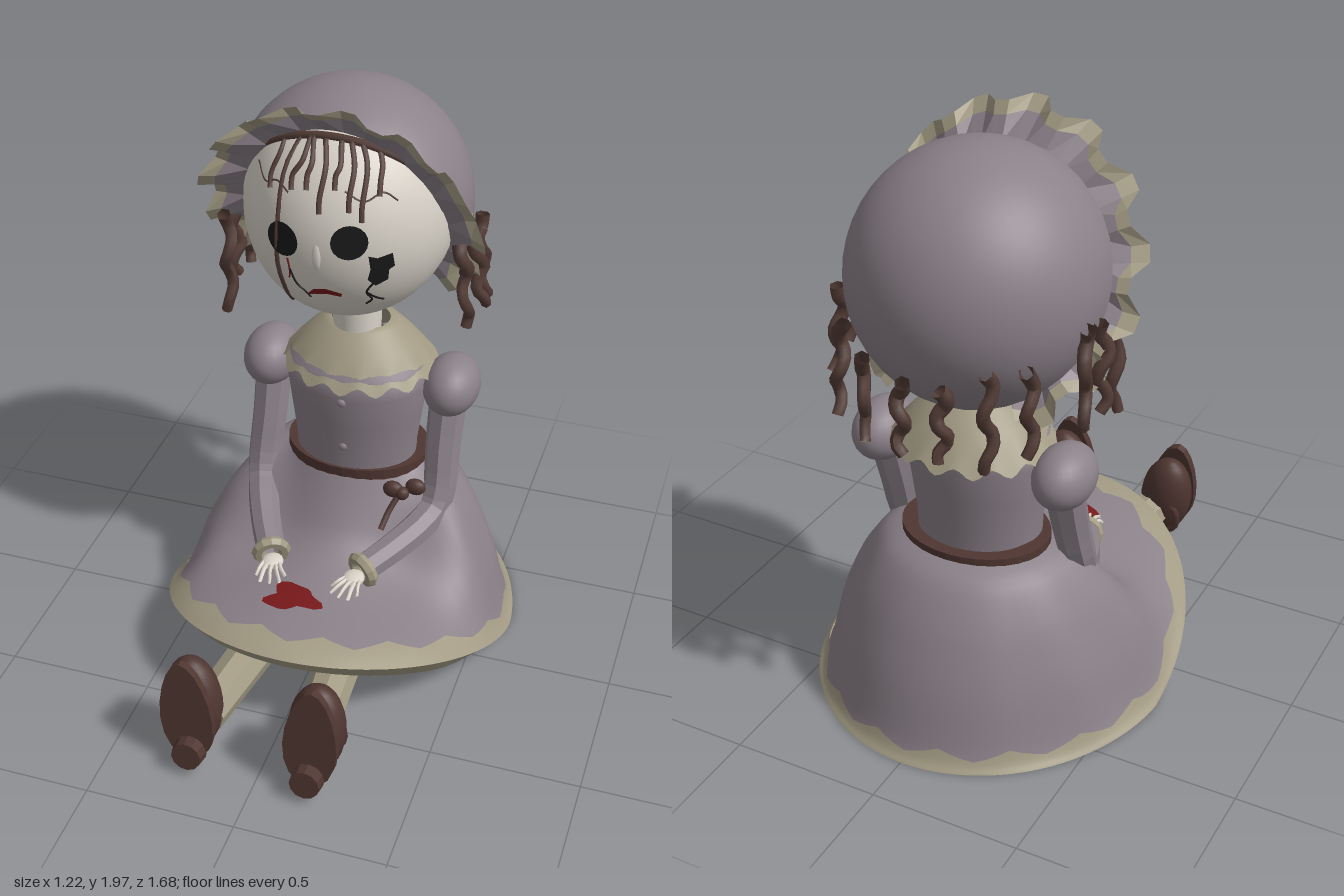
import * as THREE from 'three';
import { mergeVertices } from 'three/addons/utils/BufferGeometryUtils.js';

const mat = (name, color) => new THREE.MeshStandardMaterial({ name, color, side: THREE.DoubleSide });
const M = {
  cloth: mat('mauve cloth', 0x8b8189), trim: mat('beige trim', 0xa29a83), skin: mat('porcelain', 0xd8d2c8),
  hair: mat('brown hair', 0x533c36), leather: mat('brown leather', 0x4f3631),
  black: mat('black', 0x1b1a1b), red: mat('dark red', 0x78191b),
};
const V = (x, y, z) => new THREE.Vector3(x, y, z);
const C = V(-0.045, 1.53, -0.36);          // head centre
const H = V(0.352, 0.39, 0.378);           // head radii

export function createModel() {
  const root = new THREE.Group();
  const add = (name, geo, m, pos = [0, 0, 0], scale = [1, 1, 1], parent = root) => {
    const mesh = new THREE.Mesh(geo, m);
    mesh.name = name;
    mesh.position.set(...pos);
    mesh.scale.set(...scale);
    parent.add(mesh);
    return mesh;
  };
  const flat = (g) => { const f = g.index ? g.toNonIndexed() : g; f.computeVertexNormals(); return f; };

  // Surface from a rule fn(u, v) -> Vector3
  function grid(fn, nu, nv) {
    const pos = [], idx = [];
    for (let j = 0; j <= nv; j++) for (let i = 0; i <= nu; i++) pos.push(...fn(i / nu, j / nv).toArray());
    for (let j = 0; j < nv; j++) for (let i = 0; i < nu; i++) {
      const a = j * (nu + 1) + i, b = a + nu + 1;
      idx.push(a, b, a + 1, b, b + 1, a + 1);
    }
    let g = new THREE.BufferGeometry();
    g.setAttribute('position', new THREE.Float32BufferAttribute(pos, 3));
    g.setIndex(idx);
    g = mergeVertices(g);
    g.computeVertexNormals();
    return g;
  }
  // Tube through points whose radius follows a rule
  function tube(pts, radius, n = 12, sides = 6) {
    const curve = new THREE.CatmullRomCurve3(pts);
    const g = new THREE.TubeGeometry(curve, n, 1, sides);
    const p = g.attributes.position, v = V();
    for (let i = 0; i < p.count; i++) {
      const t = Math.floor(i / (sides + 1)) / n, c = curve.getPointAt(t);
      v.fromBufferAttribute(p, i).sub(c).multiplyScalar(radius(t)).add(c);
      p.setXYZ(i, v.x, v.y, v.z);
    }
    g.computeVertexNormals();
    return g;
  }
  function rod(a, b, ra, rb, sides) {
    const d = b.clone().sub(a);
    const g = new THREE.CylinderGeometry(rb, ra, d.length(), sides);
    g.applyQuaternion(new THREE.Quaternion().setFromUnitVectors(V(0, 1, 0), d.normalize()));
    const m = a.clone().add(b).multiplyScalar(0.5);
    return flat(g.translate(m.x, m.y, m.z));
  }
  const onHead = (x, y, off = 0.005) => {
    const q = 1 - ((x - C.x) / H.x) ** 2 - ((y - C.y) / H.y) ** 2;
    return V(x, y, C.z + H.z * Math.sqrt(Math.max(0, q)) + off);
  };

  // Skirt: blends a bell profile (sides and back) into a flat lap (front)
  const spline = (r, h) => new THREE.SplineCurve(r.map((x, i) => new THREE.Vector2(x, h[i])));
  const bell = spline([0, 0.25, 0.48, 0.64, 0.77, 0.91, 1], [1, 0.93, 0.75, 0.56, 0.36, 0.07, 0]);
  const lap = spline([0, 0.1, 0.2, 0.35, 0.55, 0.86, 1], [1, 0.6, 0.3, 0.13, 0.07, 0.07, 0.02]);
  const skirtAt = (a, t, lift = 0) => {
    const s = Math.sin(a), c = Math.cos(a), w = THREE.MathUtils.smoothstep(c, 0, 1);
    const p = bell.getPoint(t).lerp(lap.getPoint(t), w);
    const hz = -0.14 + 0.69 * c, base = Math.max(0.004, (hz + 0.22) * 0.4);
    const fold = 1 + 0.015 * Math.sin(11 * a) * (1 - w) * Math.sin(Math.PI * t);
    return V(THREE.MathUtils.lerp(0.235 * s, 0.605 * s, p.x) * fold,
      base + (0.59 - base) * p.y + lift, THREE.MathUtils.lerp(-0.32 + 0.19 * c, hz, p.x));
  };
  const skirt = add('skirt', grid((u, v) => skirtAt(u * 2 * Math.PI, v * 0.88), 66, 20), M.cloth);
  add('skirtHem', grid((u, v) => {
    const zig = 0.1 * Math.abs(((u * 16) % 1) - 0.5);
    return skirtAt(u * 2 * Math.PI, THREE.MathUtils.lerp(0.81 + zig, 1, v), 0.007 * (1 - v)).multiply(V(1.006, 1, 1.006));
  }, 96, 5), M.trim);
  // Hanging edge of the hem, deepest over the legs
  add('hemLip', grid((u, v) => {
    const p = skirtAt(u * 2 * Math.PI, 1), k = 1 - 0.07 * v;
    const drop = 0.07 * THREE.MathUtils.smoothstep(p.z, -0.2, 0.3);
    return V(p.x * k * 1.006, Math.max(0.003, p.y - drop * v), -0.14 + (p.z * 1.006 + 0.14) * k);
  }, 64, 2), M.trim);

  // Stain laid over the lap
  const ray = new THREE.Raycaster();
  skirt.updateMatrixWorld();
  add('stain', grid((u, v) => {
    const a = u * 2 * Math.PI, r = v * (0.072 + 0.016 * Math.sin(3 * a + 1) + 0.01 * Math.sin(5 * a));
    const p = V(-0.055 + r * 1.25 * Math.cos(a), 2, 0.265 + r * 0.9 * Math.sin(a));
    ray.set(p, V(0, -1, 0));
    const hit = ray.intersectObject(skirt)[0];
    return p.setY((hit ? hit.point.y : 0.33) + 0.006);
  }, 24, 4), M.red);

  // Bodice, belt, bow and buttons
  const lathe = (pts, n = 32) => new THREE.LatheGeometry(pts.map(([x, y]) => new THREE.Vector2(x, y)), n);
  add('bodice', lathe([[0.21, 0.55], [0.213, 0.65], [0.23, 0.78], [0.245, 0.9], [0.235, 0.98], [0.1, 1.07]]), M.cloth, [0, 0, -0.295], [1, 1, 0.78]);
  add('belt', flat(lathe([[0.2, 0.565], [0.252, 0.565], [0.252, 0.61], [0.2, 0.61]])), M.leather, [0, 0, -0.32], [1, 1, 0.79]);
  for (const dx of [-0.035, 0.035])
    add('bowLoop', new THREE.SphereGeometry(0.036, 12, 8), M.leather, [0.22 + dx, 0.57, -0.13 - dx * 0.5], [1, 0.85, 0.7]);
  add('bowKnot', new THREE.SphereGeometry(0.024, 10, 8), M.leather, [0.22, 0.565, -0.105]);
  add('bowTail', tube([V(0.21, 0.56, -0.11), V(0.185, 0.51, -0.07), V(0.17, 0.46, -0.02)], () => 0.011, 6, 5), M.leather);
  for (const [y, z] of [[0.89, -0.107], [0.7, -0.127]])
    add('button', new THREE.SphereGeometry(0.016, 12, 8), M.cloth, [0, y, z], [1, 1, 0.7]);

  // Neck and scalloped collar
  add('neck', new THREE.CylinderGeometry(0.082, 0.082, 0.2, 24), M.skin, [-0.005, 1.12, -0.3]);
  const collarR = [0.1, 0.13, 0.19, 0.225, 0.268], collarY = [1.105, 1.1, 1.04, 1.0, 0.945];
  add('collar', grid((u, v) => {
    const j = Math.round(v * 4), a = u * 2 * Math.PI;
    const jag = j === 4 ? 0.015 * Math.cos(14 * a) : 0;
    return V(Math.sin(a) * (collarR[j] + jag * 0.4), collarY[j] - jag, -0.33 + Math.cos(a) * (collarR[j] + jag * 0.4) * 0.89);
  }, 84, 4), M.trim);

  // Arms with puffed shoulders, cuffs and hands
  for (const s of [-1, 1]) {
    const side = s < 0 ? 'right' : 'left', wx = s < 0 ? -0.185 : 0.145;
    add(side + 'ShoulderPuff', new THREE.SphereGeometry(0.1, 24, 16), M.cloth, [s * 0.322, 0.89, -0.335], [0.97, 1.03, 1.33]);
    const arm = [V(s * 0.315, 0.86, -0.33), V(s * 0.315, 0.68, -0.275), V(s * 0.32, 0.53, -0.225),
      V(s * 0.31, 0.465, -0.185), V(s * 0.285, 0.44, -0.11), V((s * 0.29 + wx) / 2, 0.405, 0), V(wx, 0.375, 0.1)];
    add(side + 'Sleeve', flat(tube(arm, (t) => 0.066 - 0.016 * t, 16, 8)), M.cloth);
    const dir = V(wx - s * 0.3, -0.06, 0.23).normalize();
    const cuff = add(side + 'Cuff', flat(new THREE.TorusGeometry(0.047, 0.021, 6, 12)), M.trim, [wx, 0.372, 0.1]);
    cuff.lookAt(cuff.position.clone().add(dir));
    const hx = wx - s * 0.02;
    add(side + 'Palm', new THREE.SphereGeometry(0.04, 14, 10), M.skin, [hx, 0.365, 0.145], [0.95, 0.45, 1.1]);
    for (let i = 0; i < 5; i++) {
      const f = (i - 2) * 0.36 - s * 0.25, len = i === 0 || i === 4 ? 0.075 : 0.095;
      const tip = V(hx + Math.sin(f) * len, 0.352, 0.15 + Math.cos(f) * len);
      add(side + 'Finger', tube([V(hx + (i - 2) * 0.012, 0.367, 0.15), V((hx + tip.x) / 2 + (i - 2) * 0.006, 0.37, (0.15 + tip.z) / 2 + 0.01), tip],
        (t) => 0.0095 - 0.003 * t, 6, 6), M.skin);
    }
  }

  // Legs and shoes, soles facing forward
  const feet = [['right', -0.24, 0.205, 0.13, -0.1, -0.205], ['left', 0.178, 0.205, 0, 0.1, 0.16]];
  for (const [side, x, y, rz, hipX, ankleX] of feet) {
    add(side + 'Leg', rod(V(hipX, 0.14, -0.12), V(ankleX, 0.15, 0.7), 0.086, 0.068, 8), M.trim);
    const shoe = new THREE.Group();
    shoe.name = side + 'Shoe';
    shoe.position.set(x, y, 0.7);
    shoe.rotation.set(-0.12, 0, rz);
    root.add(shoe);
    add('shoeUpper', new THREE.SphereGeometry(1, 20, 14), M.leather, [0, 0, 0], [0.095, 0.165, 0.08], shoe);
    // Sole narrows towards the toe
    const sole = new THREE.CylinderGeometry(1, 1, 0.028, 18).rotateX(Math.PI / 2);
    const sp = sole.attributes.position;
    for (let i = 0; i < sp.count; i++) sp.setX(i, sp.getX(i) * (1 - 0.2 * sp.getY(i)));
    add('shoeSole', flat(sole), M.leather, [0, 0.005, 0.066], [0.088, 0.18, 1], shoe);
    add('shoeHeel', flat(new THREE.CylinderGeometry(0.05, 0.055, 0.05, 12).rotateX(Math.PI / 2)), M.leather, [0, -0.14, 0.097], [1, 1, 1], shoe);
    add('shoeStrap', new THREE.TorusGeometry(0.074, 0.012, 6, 18), M.leather, [0, -0.055, -0.06], [1, 1, 1], shoe);
  }

  // Head and face
  add('head', new THREE.SphereGeometry(1, 40, 28), M.skin, C.toArray(), H.toArray());
  add('nose', new THREE.SphereGeometry(0.03, 12, 10), M.skin, onHead(-0.045, 1.51, -0.016).toArray(), [0.7, 2, 0.7]);
  const decal = (name, pts, m) => {
    const g = new THREE.ShapeGeometry(new THREE.Shape(pts.map(([x, y]) => new THREE.Vector2(x, y))));
    const p = g.attributes.position;
    for (let i = 0; i < p.count; i++) p.setZ(i, onHead(p.getX(i), p.getY(i), 0.008).z);
    g.computeVertexNormals();
    add(name, g, m);
  };
  for (const [x, y] of [[-0.16, 1.545], [0.058, 1.567]]) {
    const ring = [];
    for (let i = 0; i < 20; i++) ring.push([x + 0.056 * Math.cos(i * Math.PI / 10), y + 0.057 * Math.sin(i * Math.PI / 10)]);
    decal('eye', ring, M.black);
  }
  decal('brokenCheek', [[0.11, 1.43], [0.13, 1.4], [0.165, 1.42], [0.17, 1.46], [0.185, 1.47], [0.18, 1.52], [0.14, 1.51], [0.115, 1.52], [0.12, 1.47]], M.black);
  decal('mouth', [[-0.09, 1.345], [-0.06, 1.38], [-0.02, 1.388], [0.03, 1.37], [0.025, 1.355], [-0.02, 1.365], [-0.06, 1.356]], M.red);
  const line = (name, pts, r, m) => add(name, tube(pts.map(([x, y]) => onHead(x, y, 0.001)), () => r, 14, 5), m);
  for (const pts of [[[0.13, 1.42], [0.1, 1.37], [0.11, 1.33], [0.09, 1.31]], [[0.1, 1.37], [0.12, 1.34], [0.14, 1.32]],
    [[-0.14, 1.44], [-0.12, 1.38], [-0.1, 1.36], [-0.08, 1.33]]]) line('crack', pts, 0.0035, M.black);
  for (const pts of [[[-0.29, 1.72], [-0.24, 1.69], [-0.2, 1.71], [-0.15, 1.69]], [[0.03, 1.72], [0.09, 1.69], [0.14, 1.71], [0.18, 1.68]]])
    line('brow', pts, 0.003, M.hair);
  line('tearMark', [[-0.145, 1.48], [-0.14, 1.43], [-0.145, 1.4]], 0.003, M.red);

  // Fringe strands on the forehead
  for (const [x, y, dx] of [[-0.22, 1.68, -0.02], [-0.14, 1.7, -0.03], [-0.09, 1.71, 0.01], [-0.04, 1.65, 0.02], [0.0, 1.72, 0.01], [0.05, 1.66, 0.03], [0.09, 1.63, 0.04], [0.13, 1.7, 0.04]])
    line('fringe', [[x - dx, 1.84], [x - dx * 0.4 + 0.008, 1.78], [x - 0.004, y + 0.04], [x, y]], 0.009, M.hair);
  line('longStrand', [[-0.14, 1.84], [-0.175, 1.75], [-0.18, 1.6], [-0.185, 1.45], [-0.175, 1.33], [-0.18, 1.24]], 0.008, M.hair);

  // Bonnet: tilted half sphere reaching further forward at the sides, with a stepped ruffle
  const bonnet = new THREE.Group();
  bonnet.name = 'bonnet';
  bonnet.position.copy(C);
  bonnet.rotation.x = -1.02;
  root.add(bonnet);
  const reach = (a) => 0.16 * Math.sin(a) ** 2;
  add('bonnetCap', grid((u, v) => {
    const a = u * 2 * Math.PI, th = v * (Math.PI / 2 + reach(a));
    return V(0.4 * Math.sin(th) * Math.sin(a), 0.408 * Math.cos(th), 0.408 * Math.sin(th) * Math.cos(a));
  }, 40, 20), M.cloth);
  bonnet.add(root.children[root.children.length - 1]);
  const pleats = 13, pts = [];
  const ruffle = (k0, k1) => flat(grid((u, v) => {
    const k = k0 + (k1 - k0) * v, a = (u - 0.5) * 5.2;
    const wave = [0, 1, 1, 0][Math.round(u * pleats * 4) % 4];
    const r = (0.392 + 0.128 * k + 0.04 * wave * k) * (1 - 0.055 * (1 - Math.cos(a)));
    return V(r * Math.sin(a) * 0.9, -(0.005 + 0.4 * reach(a) + k * (0.005 + 0.055 * wave)), r * Math.cos(a));
  }, pleats * 4, 1));
  add('ruffle', ruffle(0, 0.65), M.cloth, [0, 0, 0], [1, 1, 1], bonnet);
  add('ruffleTrim', ruffle(0.65, 1), M.trim, [0, 0, 0], [1, 1, 1], bonnet);
  for (let i = 0; i <= 12; i++) {
    const a = (i / 12 - 0.5) * 1.7;
    pts.push(V(0.362 * Math.sin(a), -0.02, 0.383 * Math.cos(a)));
  }
  add('hairline', tube(pts, () => 0.014, 30, 6), M.hair, [0, 0, 0], [1, 1, 1], bonnet);

  // Wavy locks hanging around the head: angle from the front, top height, length, distance
  for (const [deg, top, len, rad] of [[-74, 1.46, 0.36, 0.41], [-91, 1.47, 0.3, 0.41], [-104, 1.48, 0.32, 0.41], [-130, 1.4, 0.28, 0.39],
    [-148, 1.4, 0.32, 0.385], [-168, 1.34, 0.24, 0.38], [172, 1.34, 0.24, 0.385], [152, 1.38, 0.28, 0.405], [132, 1.42, 0.3, 0.41],
    [108, 1.46, 0.3, 0.42], [90, 1.48, 0.28, 0.42], [74, 1.48, 0.3, 0.42]]) {
    const a = deg * Math.PI / 180, lock = [];
    for (let i = 0; i <= 8; i++) {
      const r = rad + 0.012 * Math.sin(i * 1.6 + deg) + (deg > 70 && deg < 140 ? 0.004 * i : 0);
      const b = a + 0.045 * Math.sin(i * 1.5 + deg * 0.3);
      lock.push(V(C.x + r * Math.sin(b), top - len * i / 8, C.z + r * Math.cos(b)));
    }
    add('lock', tube(lock, (t) => 0.024 - 0.006 * t, 18, 6), M.hair);
  }
  return root;
}
